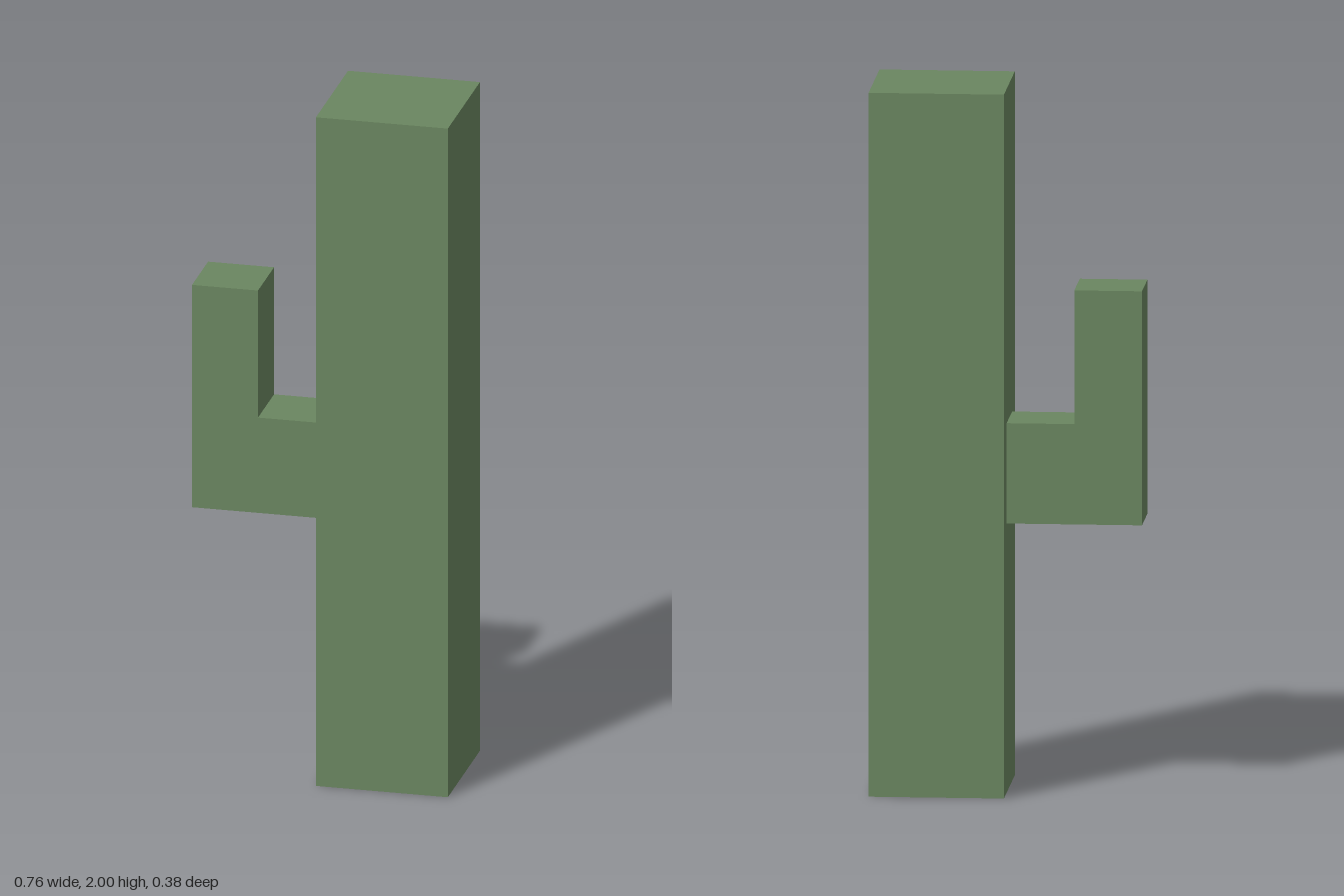
import * as THREE from 'three';

export function createModel() {
  const cactus = new THREE.Group();
  cactus.name = 'cactus';
  const green = new THREE.MeshStandardMaterial({ color: 0x6a8660, flatShading: true });

  // Square trunk
  const width = 0.38, height = 2;
  const trunk = new THREE.Mesh(new THREE.BoxGeometry(width, height, width), green);
  trunk.name = 'trunk';
  trunk.position.set(width / 2, height / 2, 0);
  cactus.add(trunk);

  // L-shaped arm growing from the side of the trunk and bending upwards
  const outline = [[0, 0.765], [0, 1.05], [-0.19, 1.05], [-0.19, 1.43], [-0.38, 1.43], [-0.38, 0.765]];
  const shape = new THREE.Shape(outline.map(([x, y]) => new THREE.Vector2(x, y)));
  const depth = 0.19;
  const arm = new THREE.Mesh(new THREE.ExtrudeGeometry(shape, { depth, bevelEnabled: false }), green);
  arm.name = 'arm';
  arm.position.z = -depth / 2;
  cactus.add(arm);

  return cactus;
}
